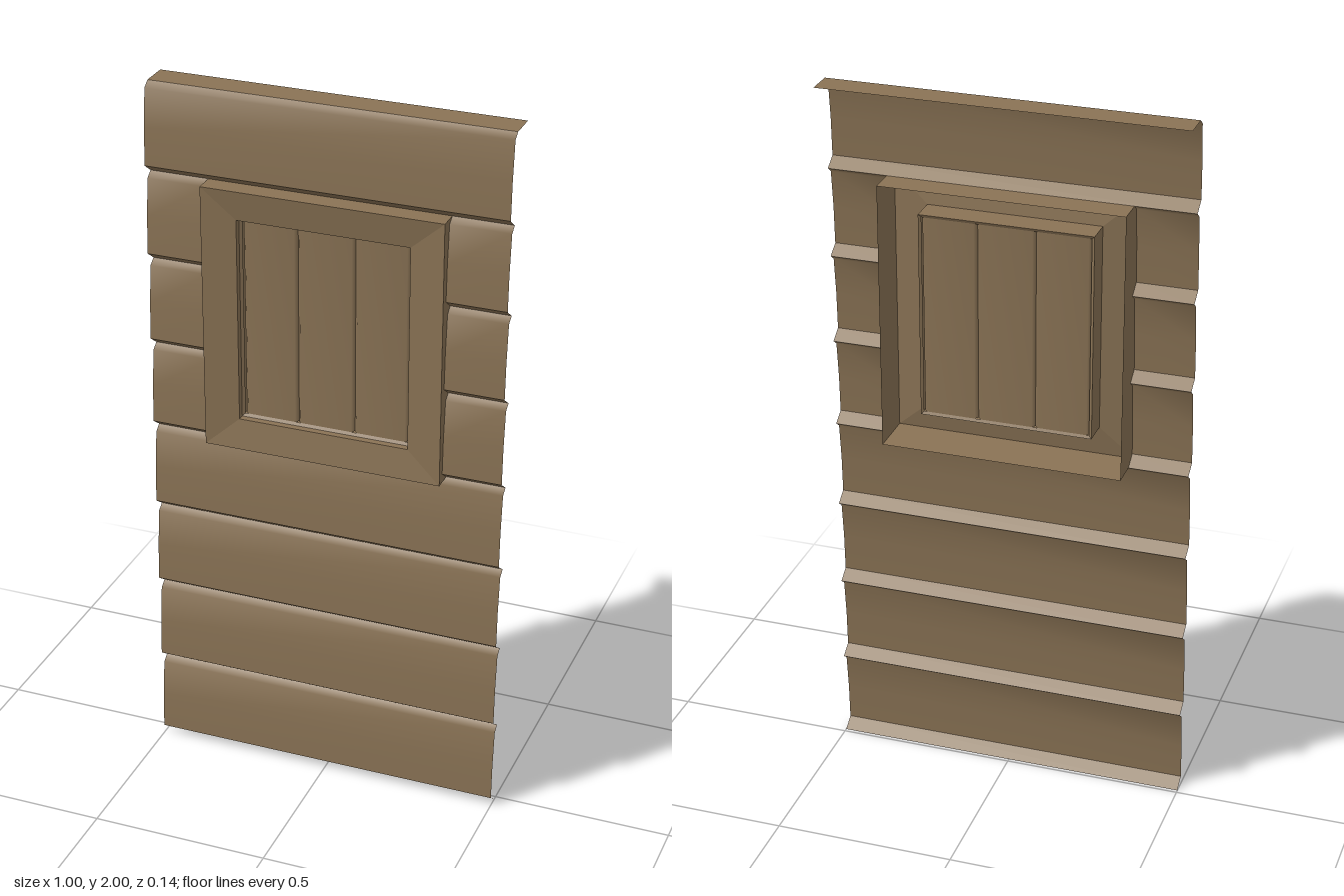
import * as THREE from 'three';

const material = new THREE.MeshStandardMaterial({ color: 0x8a7355, side: THREE.DoubleSide });

// Sheet that sweeps a profile of [y, z] points from x0 to x1, smooth along the profile
function sheet(profile, x0, x1) {
  const pos = [], index = [];
  for (const [y, z] of profile) pos.push(x0, y, z, x1, y, z);
  for (let i = 0; i < profile.length - 1; i++) {
    const a = i * 2;
    index.push(a, a + 1, a + 3, a, a + 3, a + 2);
  }
  const g = new THREE.BufferGeometry();
  g.setAttribute('position', new THREE.Float32BufferAttribute(pos, 3));
  g.setIndex(index);
  g.computeVertexNormals();
  return g;
}

// Loft through rectangles given as [half width, half height, z], with flat faces
function rectLoft(rings) {
  const pos = [], index = [];
  for (const [w, h, z] of rings) pos.push(-w, -h, z, w, -h, z, w, h, z, -w, h, z);
  for (let r = 0; r < rings.length - 1; r++) {
    for (let k = 0; k < 4; k++) {
      const a = r * 4 + k, b = r * 4 + (k + 1) % 4;
      index.push(a, b, b + 4, a, b + 4, a + 4);
    }
  }
  const indexed = new THREE.BufferGeometry();
  indexed.setAttribute('position', new THREE.Float32BufferAttribute(pos, 3));
  indexed.setIndex(index);
  const g = indexed.toNonIndexed();
  g.computeVertexNormals();
  return g;
}

function add(parent, name, geometry) {
  const mesh = new THREE.Mesh(geometry, material);
  mesh.name = name;
  parent.add(mesh);
  return mesh;
}

export function createModel() {
  const model = new THREE.Group();
  model.name = 'windowWall';

  // Clapboard siding: eight rows, three of them interrupted by the window
  const siding = new THREE.Group();
  siding.name = 'siding';
  model.add(siding);
  const pitch = 0.25, halfWall = 0.5, halfWindow = 0.335;
  const underside = [[0, 0.01], [0.025, 0.045]];
  const face = [[0.025, 0.045], [0.13, 0.041], [0.235, 0.03], [0.25, 0.01]];
  for (let row = 0; row < 8; row++) {
    const beside = row >= 4 && row <= 6;
    const spans = beside
      ? [[-halfWall, -halfWindow], [halfWindow, halfWall]]
      : [[-halfWall, halfWall]];
    for (const [x0, x1] of spans) {
      add(siding, 'boardUnderside', sheet(underside, x0, x1)).position.y = row * pitch;
      add(siding, 'boardFace', sheet(face, x0, x1)).position.y = row * pitch;
    }
  }

  // Flat ledge running back from the top of the wall
  add(model, 'topLedge', sheet([[2, 0.01], [2, -0.07]], -halfWall, halfWall));

  // Window: open-backed casing with mitred sloping trim
  const shutterWindow = new THREE.Group();
  shutterWindow.name = 'window';
  shutterWindow.position.y = 1.375;
  model.add(shutterWindow);
  add(shutterWindow, 'casing', rectLoft([
    [0.335, 0.375, -0.067], [0.335, 0.375, 0.067], [0.24, 0.29, 0.054],
  ]));
  add(shutterWindow, 'reveal', rectLoft([
    [0.232, 0.282, 0.03], [0.24, 0.29, 0.035], [0.24, 0.29, 0.054],
  ]));
  add(shutterWindow, 'panelRim', rectLoft([
    [0.24, 0.29, 0.035], [0.24, 0.29, -0.02], [0.232, 0.282, -0.016],
  ]));

  // Three upright planks with grooves between, on both sides of the panel
  const sides = [['frontPlank', 0.03, 0], ['backPlank', 0.016, Math.PI]];
  for (const [name, z, turn] of sides) {
    for (let i = -1; i <= 1; i++) {
      const c = i * 0.16;
      const lo = i < 0 ? -0.232 : c - 0.08, hi = i > 0 ? 0.232 : c + 0.08;
      const profile = [
        [lo, z - 0.01], [lo + 0.008, z], [hi - 0.008, z], [hi, z - 0.01],
      ];
      const g = sheet(profile, -0.282, 0.282);
      g.rotateZ(-Math.PI / 2);
      g.rotateY(turn);
      add(shutterWindow, name, g);
    }
  }
  return model;
}
